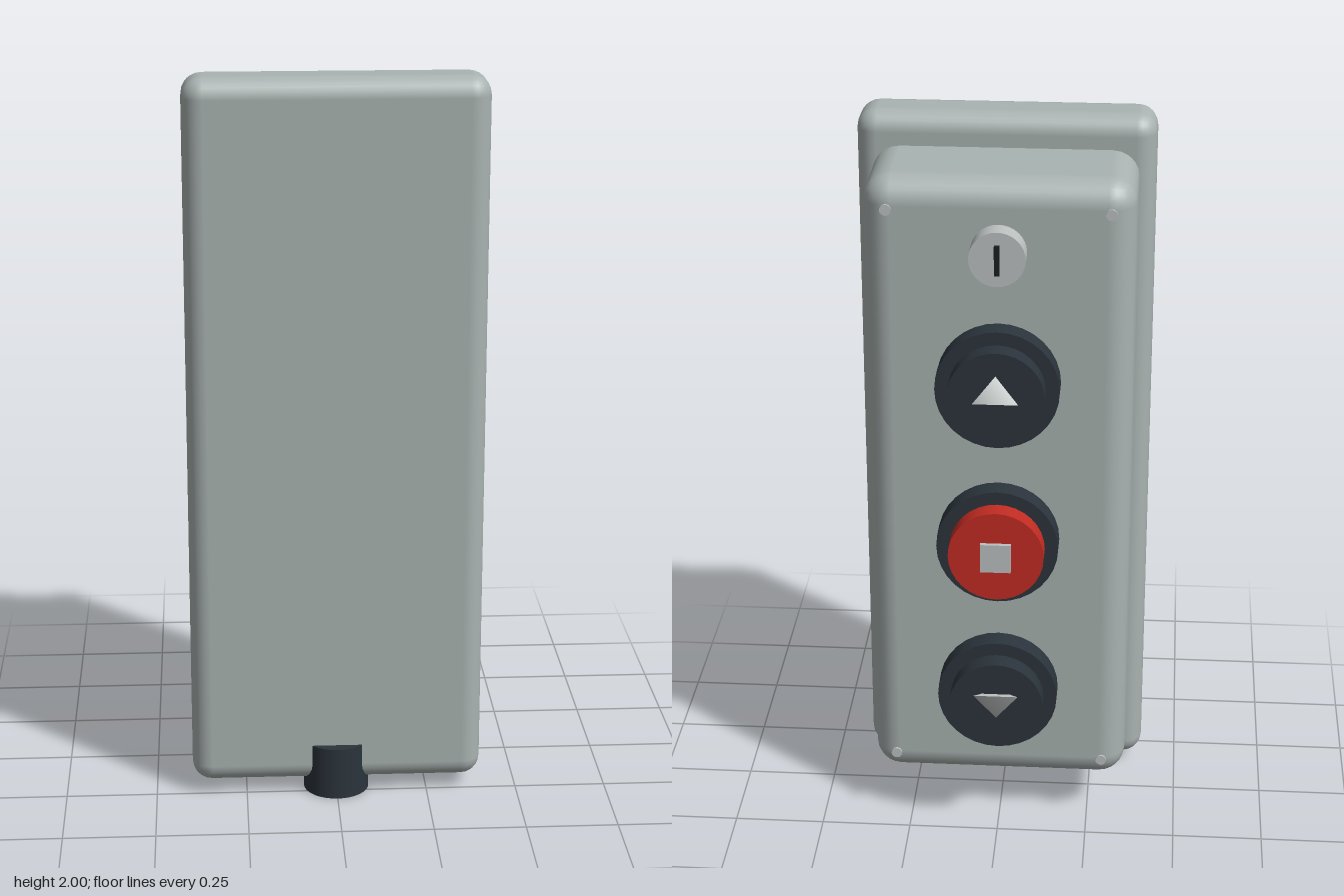
import * as THREE from 'three';
import { RoundedBoxGeometry } from 'three/addons/geometries/RoundedBoxGeometry.js';

function mat(name, color) {
  const m = new THREE.MeshStandardMaterial({ color });
  m.name = name;
  return m;
}

export function createModel() {
  const grey = mat('housing grey', 0xa9b3b1);
  const dark = mat('dark plastic', 0x2b343c);
  const red = mat('stop red', 0xc22c22);
  const silver = mat('silver', 0xbcc1c0);
  const black = mat('slot black', 0x1b1f22);

  const model = new THREE.Group();
  model.name = 'pushButtonStation';

  function add(parent, name, geometry, material, x, y, z) {
    const mesh = new THREE.Mesh(geometry, material);
    mesh.name = name;
    mesh.position.set(x, y, z);
    parent.add(mesh);
    return mesh;
  }

  // Disc with its axis along z, spanning z0 (inner) to z1 (outer)
  function disc(parent, name, radius, z0, z1, material, x = 0, y = 0, sides = 32) {
    const g = new THREE.CylinderGeometry(radius, radius, z0 - z1, sides).rotateX(Math.PI / 2);
    return add(parent, name, g, material, x, y, (z0 + z1) / 2);
  }

  // Housing: wide plate and deeper control box
  add(model, 'backPlate', new RoundedBoxGeometry(0.8, 1.965, 0.17, 3, 0.055), grey, 0, 1.0175, 0.186);
  add(model, 'controlBox', new RoundedBoxGeometry(0.71, 1.78, 0.375, 3, 0.073), grey, 0, 1.02, 0.013);

  // Cable gland under the housing
  add(model, 'cableGland', new THREE.CylinderGeometry(0.09, 0.09, 0.147, 32), dark, 0, 0.0735, 0.213);

  // Push buttons: collar, cap and raised symbol
  const buttons = [
    { name: 'upButton', y: 1.357, cap: dark, symbol: 1, lift: 0.028 },
    { name: 'stopButton', y: 0.896, cap: red, symbol: 0, lift: 0 },
    { name: 'downButton', y: 0.433, cap: dark, symbol: -1, lift: 0 },
  ];
  for (const b of buttons) {
    const group = new THREE.Group();
    group.name = b.name;
    group.position.y = b.y;
    model.add(group);
    disc(group, 'collar', 0.165, -0.15, -0.237, dark);
    disc(group, 'cap', 0.129, -0.22, -0.293, b.cap);
    if (b.symbol === 0) {
      add(group, 'squareSymbol', new THREE.BoxGeometry(0.082, 0.082, 0.03), silver, 0, 0, -0.29);
    } else {
      const arrow = new THREE.ConeGeometry(0.07, 0.075, 3).scale(1, 1, 0.35);
      const mesh = add(group, 'arrowSymbol', arrow, silver, 0, b.lift, -0.2935);
      if (b.symbol < 0) mesh.rotation.z = Math.PI;
    }
  }

  // Key switch
  const key = new THREE.Group();
  key.name = 'keySwitch';
  key.position.y = 1.72;
  model.add(key);
  disc(key, 'lockBarrel', 0.074, -0.15, -0.234, silver);
  add(key, 'keySlot', new THREE.BoxGeometry(0.014, 0.08, 0.02), black, 0, 0, -0.236);

  // Corner screws
  for (const x of [-0.29, 0.29]) {
    for (const y of [0.205, 1.832]) {
      disc(model, 'cornerScrew', 0.015, -0.186, -0.192, silver, x, y, 16);
    }
  }

  return model;
}
